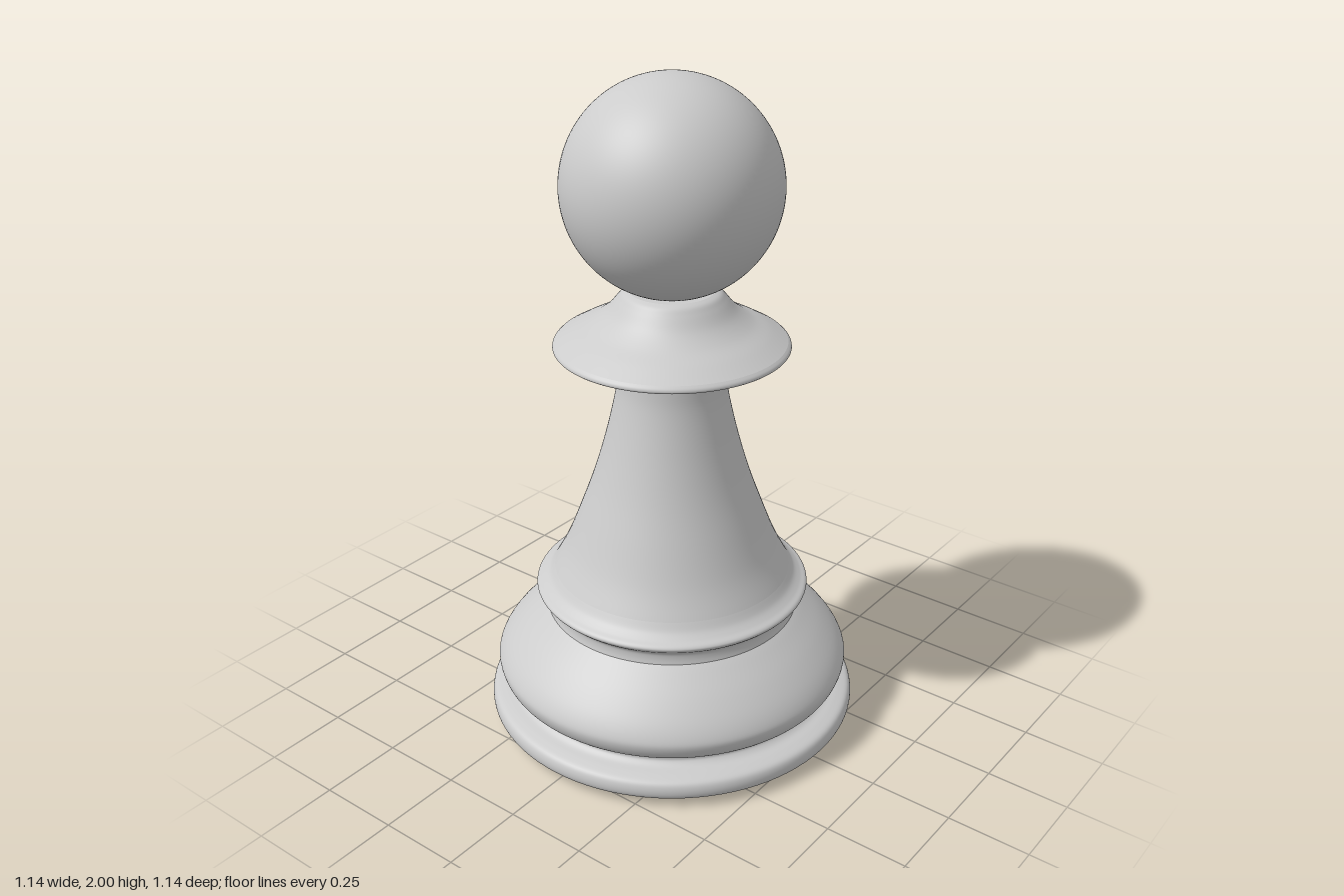
import * as THREE from 'three';

const SEGMENTS = 96;

export function createModel() {
  const group = new THREE.Group();
  const grey = new THREE.MeshStandardMaterial({ color: 0xcccccc, side: THREE.DoubleSide });
  const felt = new THREE.MeshStandardMaterial({ color: 0x14261c });

  const add = (name, geometry, material = grey) => {
    const mesh = new THREE.Mesh(geometry, material);
    mesh.name = name;
    group.add(mesh);
    return mesh;
  };

  // Turned part: smooth spline through [radius, height] points, bottom to top
  const turned = (name, profile, steps = 40) => {
    const points = profile.map(([r, y]) => new THREE.Vector2(r, y));
    const curve = new THREE.SplineCurve(points);
    const path = points.length > 2 ? curve.getPoints(steps) : points;
    return add(name, new THREE.LatheGeometry(path, SEGMENTS));
  };

  // Felt pad under the foot
  const pad = add('feltPad', new THREE.CylinderGeometry(0.5, 0.5, 0.02, SEGMENTS), felt);
  pad.position.y = 0.01;

  // Rounded foot
  turned('footUnderside', [[0.49, 0.018], [0.53, 0.022]]);
  turned('foot', [[0.53, 0.022], [0.557, 0.027], [0.568, 0.04], [0.568, 0.062],
    [0.558, 0.08], [0.532, 0.09], [0.505, 0.097], [0.49, 0.108], [0.488, 0.118]]);

  // Wide bulging base
  turned('baseBulge', [[0.488, 0.118], [0.505, 0.13], [0.531, 0.153], [0.543, 0.185],
    [0.538, 0.212], [0.512, 0.252], [0.465, 0.302], [0.41, 0.35], [0.385, 0.37]]);

  // Groove and thin ring around the bottom of the body
  turned('groove', [[0.385, 0.37], [0.382, 0.385], [0.382, 0.402], [0.388, 0.412]], 10);
  turned('ring', [[0.388, 0.412], [0.405, 0.425], [0.416, 0.438], [0.412, 0.448],
    [0.395, 0.458], [0.376, 0.474], [0.36, 0.498]]);

  // Tapering body
  turned('body', [[0.36, 0.498], [0.318, 0.58], [0.271, 0.7], [0.235, 0.8],
    [0.205, 0.9], [0.18, 1.0], [0.164, 1.08], [0.159, 1.14]]);
  turned('neckBand', [[0.159, 1.14], [0.161, 1.155], [0.166, 1.165], [0.165, 1.177], [0.155, 1.185]], 16);

  // Flared collar
  turned('collarUnderside', [[0.15, 1.184], [0.2, 1.192], [0.27, 1.202], [0.34, 1.212]]);
  turned('collarRim', [[0.34, 1.212], [0.345, 1.217], [0.343, 1.225], [0.335, 1.233]], 12);
  turned('collar', [[0.335, 1.233], [0.285, 1.262], [0.232, 1.29], [0.19, 1.322],
    [0.158, 1.36], [0.142, 1.378], [0.125, 1.386]]);
  turned('collarTop', [[0.125, 1.386], [0, 1.386]]);

  // Ball head
  const head = add('head', new THREE.SphereGeometry(0.315, SEGMENTS, 64));
  head.position.y = 1.685;

  return group;
}
